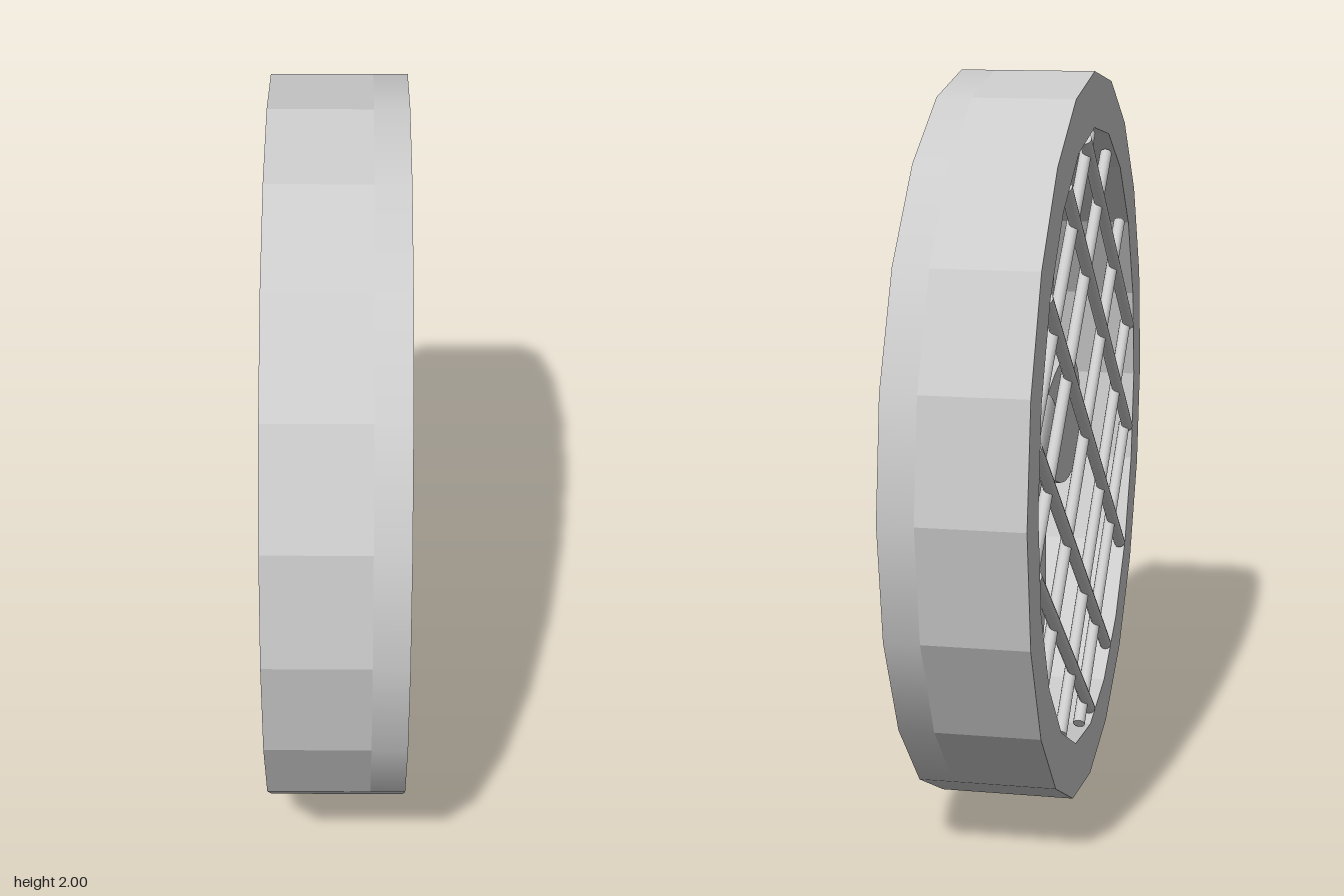
import * as THREE from 'three';

const SIDES = 20, OUTER = 1, INNER = 0.85, HALF = 0.182, FLOOR = -0.09;

export function createModel() {
  const model = new THREE.Group();
  model.name = 'wallFan';
  const smooth = new THREE.MeshStandardMaterial({ color: 0xcccccc });
  const flat = new THREE.MeshStandardMaterial({ color: 0xcccccc, flatShading: true });

  // The fan is laid out around the z axis, then turned so its open side faces -x
  const fan = new THREE.Group();
  fan.name = 'fan';
  fan.position.y = 1;
  fan.rotation.y = -Math.PI / 2;
  model.add(fan);

  const add = (parent, name, geometry, material, z = 0) => {
    const mesh = new THREE.Mesh(geometry, material);
    mesh.name = name;
    mesh.position.z = z;
    parent.add(mesh);
    return mesh;
  };
  const polygon = (radius) => Array.from({ length: SIDES }, (_, i) => {
    const a = (i / SIDES) * Math.PI * 2;
    return new THREE.Vector2(Math.cos(a) * radius, Math.sin(a) * radius);
  });

  // Faceted housing ring
  const ring = new THREE.Shape(polygon(OUTER));
  ring.holes.push(new THREE.Path(polygon(INNER)));
  add(fan, 'housingRing',
    new THREE.ExtrudeGeometry(ring, { depth: HALF - FLOOR, bevelEnabled: false }), flat, FLOOR);

  // Closed back plate with a smooth rim
  const plateDepth = HALF + FLOOR;
  add(fan, 'backPlate',
    new THREE.CylinderGeometry(OUTER, OUTER, plateDepth, SIDES).rotateX(Math.PI / 2),
    smooth, FLOOR - plateDepth / 2);

  // Four thick petal-shaped blades
  const petal = new THREE.Shape();
  petal.moveTo(0.03, -0.04);
  petal.bezierCurveTo(0.2, -0.13, 0.3, -0.19, 0.48, -0.19);
  petal.bezierCurveTo(0.64, -0.19, 0.74, -0.12, 0.74, 0);
  petal.bezierCurveTo(0.74, 0.12, 0.64, 0.19, 0.48, 0.19);
  petal.bezierCurveTo(0.3, 0.19, 0.2, 0.13, 0.03, 0.04);
  const bladeGeometry = new THREE.ExtrudeGeometry(petal,
    { depth: 0.1, bevelEnabled: false, curveSegments: 6 });
  const rotor = new THREE.Group();
  rotor.name = 'rotor';
  rotor.rotation.z = -0.14;
  fan.add(rotor);
  for (let i = 0; i < 4; i++) {
    add(rotor, 'blade', bladeGeometry, smooth, -0.07).rotation.z = (i * Math.PI) / 2;
  }

  // Shaft and flattened hub cap
  add(rotor, 'shaft', new THREE.CylinderGeometry(0.06, 0.06, 0.14, 16).rotateX(Math.PI / 2), smooth, -0.02);
  add(rotor, 'hub', new THREE.SphereGeometry(0.11, 24, 16).scale(1, 1, 0.28), smooth, 0.05);

  // Guard: two crossing layers of parallel rods
  [[-0.645, 0.168], [0.655, 0.158]].forEach(([angle, z]) => {
    const layer = new THREE.Group();
    layer.name = 'guardLayer';
    layer.rotation.z = angle;
    fan.add(layer);
    for (const offset of [-0.62, -0.36, 0, 0.36, 0.62]) {
      const length = 2 * Math.sqrt(0.83 ** 2 - offset ** 2);
      const rod = add(layer, 'guardRod',
        new THREE.CylinderGeometry(0.017, 0.017, length, 12).rotateZ(Math.PI / 2), smooth, z);
      rod.position.y = offset;
    }
  });

  return model;
}
